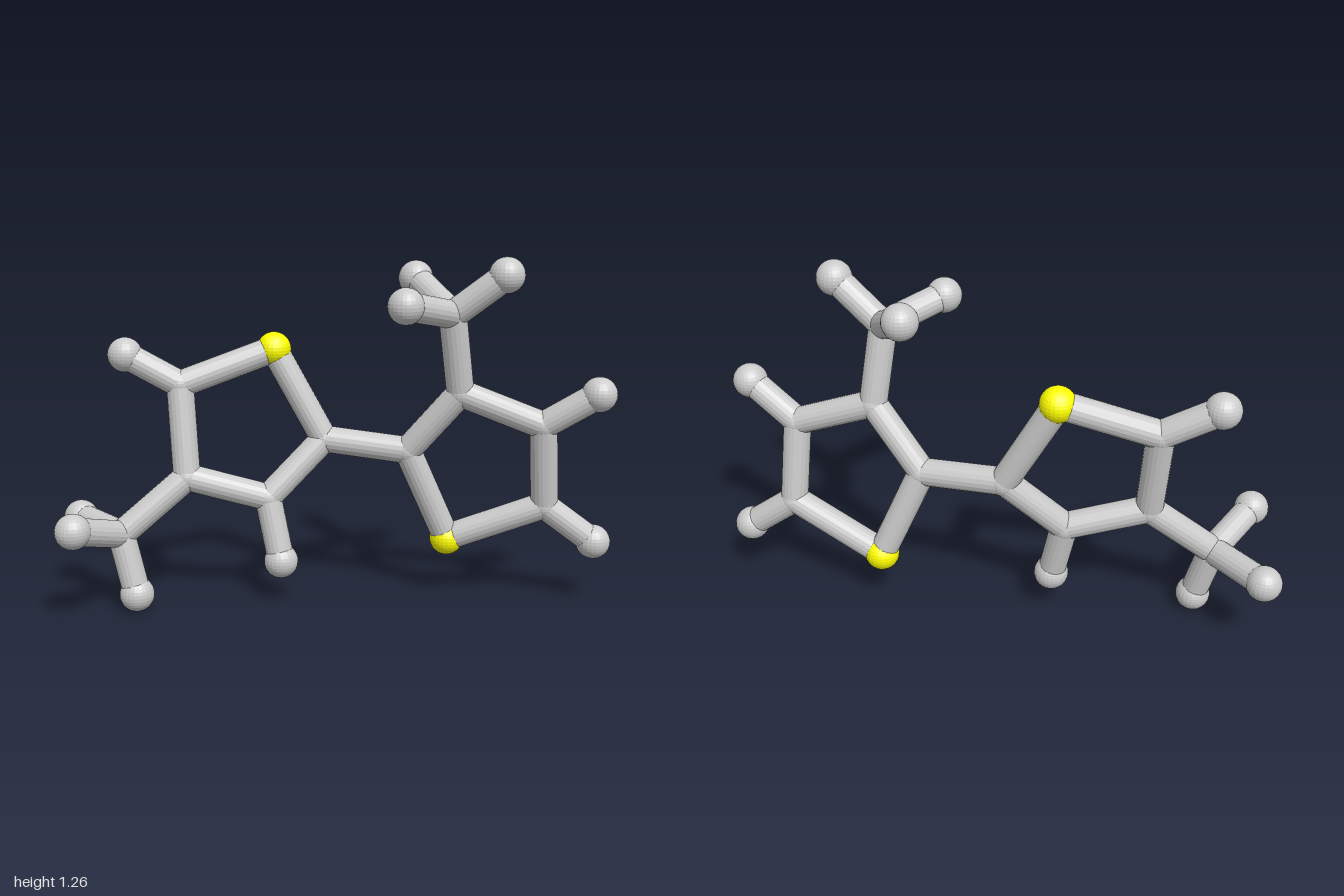
import * as THREE from 'three';

// Stick model of two five-sided rings joined by a bond, each ring with a methyl branch
const ATOMS = {
  // left-hand ring in the front view (-x)
  sulfurA: [-0.22, 0.917, -0.183],
  ringA2: [-0.04, 0.59, -0.166],
  ringA3: [-0.243, 0.387, -0.098],
  ringA4: [-0.53, 0.472, -0.062],
  ringA5: [-0.552, 0.8, -0.112],
  hydrogenA3: [-0.196, 0.157, -0.067],
  hydrogenA5: [-0.743, 0.907, -0.106],
  methylA: [-0.76, 0.28, 0.008],
  hydrogenA6: [-0.886, 0.348, 0.203],
  hydrogenA7: [-0.94, 0.293, -0.172],
  hydrogenA8: [-0.707, 0.064, 0.03],
  // ring on the +x side
  sulfurB: [0.41, 0.22, -0.153],
  ringB2: [0.26, 0.56, -0.113],
  ringB3: [0.44, 0.78, -0.055],
  ringB4: [0.732, 0.668, -0.034],
  ringB5: [0.754, 0.363, -0.083],
  hydrogenB4: [0.913, 0.787, 0.014],
  hydrogenB5: [0.934, 0.23, -0.077],
  methylB: [0.403, 1.06, -0.008],
  hydrogenB6: [0.578, 1.198, 0.036],
  hydrogenB7: [0.233, 1.107, 0.168],
  hydrogenB8: [0.287, 1.17, -0.203],
};

// Chains of bonded atoms
const CHAINS = [
  ['ringA2', 'ringB2'],
  ...['A', 'B'].map((s) => ['sulfur' + s, `ring${s}2`, `ring${s}3`, `ring${s}4`, `ring${s}5`, 'sulfur' + s]),
  ['ringA3', 'hydrogenA3'], ['ringA5', 'hydrogenA5'], ['ringA4', 'methylA'],
  ['ringB4', 'hydrogenB4'], ['ringB5', 'hydrogenB5'], ['ringB3', 'methylB'],
  ...['A', 'B'].flatMap((s) => [6, 7, 8].map((i) => ['methyl' + s, `hydrogen${s}${i}`])),
];

const BOND_RADIUS = 0.049, JOINT_RADIUS = 0.051, BALL_RADIUS = 0.062;

export function createModel() {
  const model = new THREE.Group();
  model.name = 'moleculeModel';
  const grey = new THREE.MeshStandardMaterial({ color: 0xcccccc, flatShading: true });
  const yellow = new THREE.MeshStandardMaterial({ color: 0xffff00, flatShading: true });
  const ball = new THREE.SphereGeometry(BALL_RADIUS, 24, 16);
  const joint = new THREE.SphereGeometry(JOINT_RADIUS, 24, 16);
  const up = new THREE.Vector3(0, 1, 0);

  // Balls at free ends and sulfur corners, smaller joints at carbon corners
  for (const [name, position] of Object.entries(ATOMS)) {
    const isSulfur = name.startsWith('sulfur');
    const isBall = isSulfur || name.startsWith('hydrogen');
    const mesh = new THREE.Mesh(isBall ? ball : joint, isSulfur ? yellow : grey);
    mesh.name = name;
    mesh.position.set(...position);
    model.add(mesh);
  }

  // Cylindrical bonds between neighbouring atoms
  for (const chain of CHAINS) {
    for (let i = 0; i < chain.length - 1; i++) {
      const a = new THREE.Vector3(...ATOMS[chain[i]]);
      const b = new THREE.Vector3(...ATOMS[chain[i + 1]]);
      const axis = b.clone().sub(a);
      const bond = new THREE.Mesh(
        new THREE.CylinderGeometry(BOND_RADIUS, BOND_RADIUS, axis.length(), 20), grey);
      bond.name = `bond_${chain[i]}_${chain[i + 1]}`;
      bond.position.copy(a).add(b).multiplyScalar(0.5);
      bond.quaternion.setFromUnitVectors(up, axis.normalize());
      model.add(bond);
    }
  }
  return model;
}
